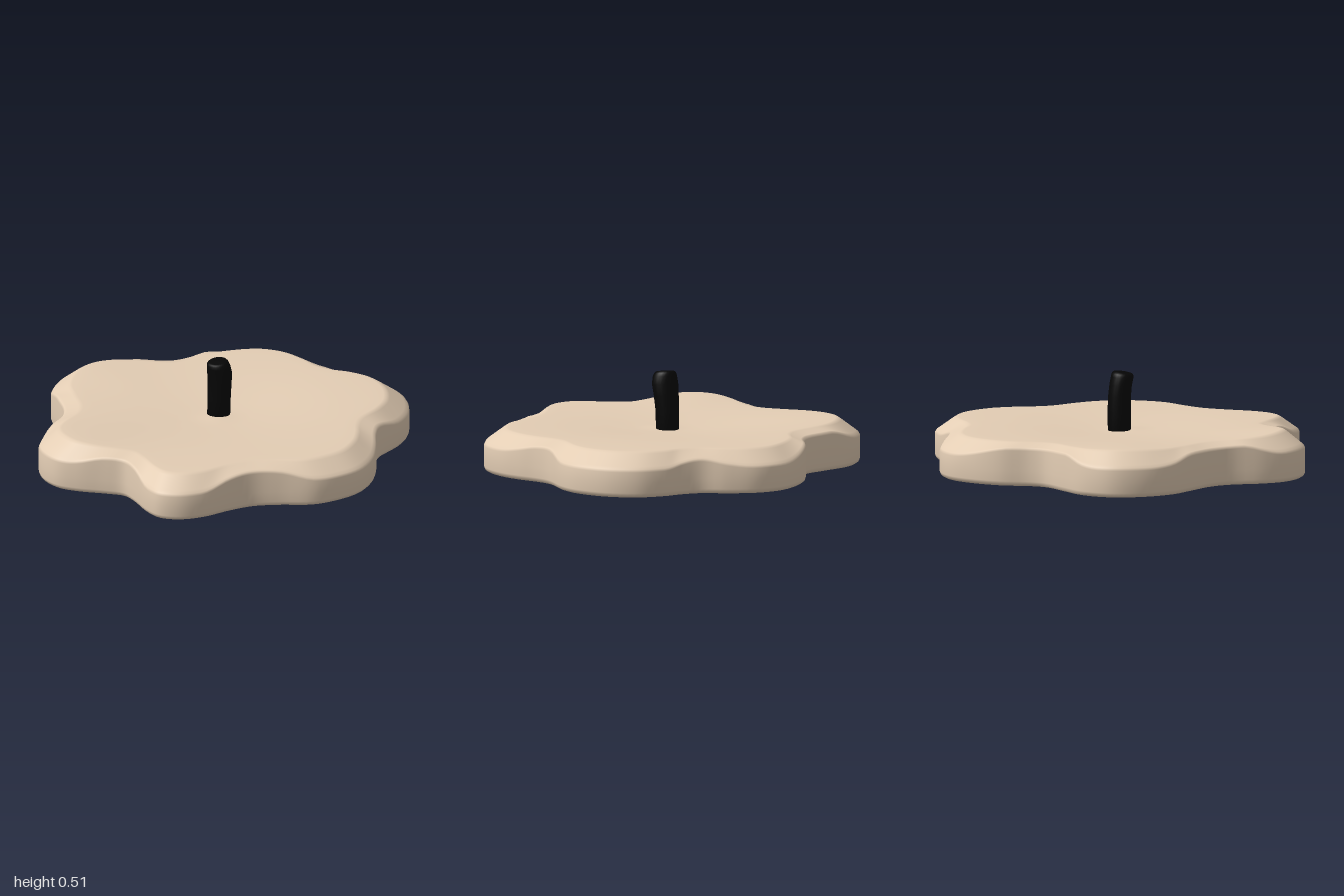
import * as THREE from 'three';

const cream = new THREE.MeshStandardMaterial({ color: 0xe3cdb4 });
cream.name = 'cream';
const black = new THREE.MeshStandardMaterial({ color: 0x060606 });
black.name = 'black';

// Wavy six-lobed outline as x, z pairs, anticlockwise from above
const OUTLINE = [
  1, 0, 0.955, -0.16, 0.885, -0.27, 0.81, -0.36, 0.76, -0.45, 0.735, -0.64, 0.685, -0.77, 0.55, -0.91,
  0.39, -0.97, 0.245, -0.955, 0.14, -0.915, 0.03, -0.9, -0.1, -0.935, -0.26, -0.95, -0.4, -0.9,
  -0.51, -0.78, -0.58, -0.64, -0.605, -0.49, -0.65, -0.4, -0.78, -0.31, -0.915, -0.215, -0.985, -0.1,
  -1, 0, -0.97, 0.14, -0.89, 0.275, -0.77, 0.37, -0.635, 0.475, -0.57, 0.575, -0.53, 0.75,
  -0.475, 0.865, -0.385, 0.937, -0.27, 0.967, -0.155, 0.935, -0.02, 0.865, 0.075, 0.828, 0.165, 0.853,
  0.325, 0.927, 0.42, 0.942, 0.515, 0.89, 0.585, 0.785, 0.635, 0.62, 0.69, 0.495, 0.785, 0.39,
  0.92, 0.27, 0.98, 0.135,
];

// Closed skin over a stack of rings, with a centre point at each end
function loft(rings, start, end) {
  const n = rings[0].length;
  const points = [...rings.flat(), start, end];
  const s = points.length - 2, e = s + 1, last = (rings.length - 1) * n;
  const index = [];
  for (let i = 0; i < n; i++) {
    const j = (i + 1) % n;
    for (let r = 0; r < last; r += n) {
      index.push(r + i, r + j, r + n + j, r + i, r + n + j, r + n + i);
    }
    index.push(s, j, i, e, last + i, last + j);
  }
  const g = new THREE.BufferGeometry().setFromPoints(points);
  g.setIndex(index);
  g.computeVertexNormals();
  return g;
}

// Shallow dish with a few raised lobes and a small mound beside the stem
const bump = (x, z, cx, cz, w) => Math.exp(-((x - cx) ** 2 + (z - cz) ** 2) / w);
const topY = (x, z) => 0.198
  + 0.027 * THREE.MathUtils.smoothstep(Math.hypot(x, z), 0, 0.72)
  + 0.025 * bump(x, z, -0.3, 0.85, 0.07)
  + 0.014 * bump(x, z, -0.85, 0, 0.07)
  + 0.006 * bump(x, z, 0.3, -0.65, 0.12)
  + 0.008 * bump(x, z, 0.05, 0.04, 0.006);

function createBody() {
  const control = [];
  for (let i = 0; i < OUTLINE.length; i += 2) control.push(new THREE.Vector3(OUTLINE[i], 0, OUTLINE[i + 1]));
  const edge = new THREE.CatmullRomCurve3(control, true).getPoints(200).slice(0, -1);
  const ring = (scale, height) => edge.map((p) => {
    const x = p.x * scale, z = p.z * scale;
    return new THREE.Vector3(x, height(x, z, p.length()), z);
  });
  // The bevel is deeper on the lobes than in the notches
  const bevel = (part, offset = 0) => (x, z, r) =>
    topY(x, z) - part * (0.025 + 0.055 * THREE.MathUtils.smoothstep(r, 0.84, 0.99)) + offset;

  const rings = [
    ring(0.97, () => 0), ring(0.98, () => 0), ring(0.993, () => 0.008), ring(1, () => 0.025),
    ring(1, () => 0.08), ring(1, bevel(1, -0.012)), ring(0.992, bevel(1, 0.002)),
    ring(0.975, bevel(0.82)), ring(0.9, bevel(0.14)), ring(0.885, bevel(0.03)), ring(0.868, topY),
  ];
  for (const s of [0.8, 0.65, 0.5, 0.35, 0.22, 0.15, 0.1, 0.06]) rings.push(ring(s, topY));
  return loft(rings, new THREE.Vector3(), new THREE.Vector3(0, topY(0, 0), 0));
}

function createStem() {
  // Each level: centre x, y, z, radius along x, radius along z, tilt of the cut
  const levels = [
    [0.026, 0.17, -0.005, 0.06, 0.061, 0], [0.028, 0.3, -0.007, 0.062, 0.061, 0],
    [0.033, 0.38, -0.005, 0.066, 0.06, 0], [0.038, 0.44, 0.001, 0.07, 0.059, -0.05],
    [0.037, 0.48, 0.009, 0.064, 0.059, -0.1], [0.035, 0.496, 0.012, 0.057, 0.057, -0.13],
    [0.035, 0.504, 0.013, 0.05, 0.05, -0.14], [0.035, 0.506, 0.013, 0.04, 0.04, -0.14],
  ];
  const sides = 24;
  const rings = levels.map(([x, y, z, rx, rz, tilt]) => Array.from({ length: sides }, (_, i) => {
    const a = (i / sides) * Math.PI * 2;
    const dz = -Math.sin(a) * rz;
    return new THREE.Vector3(x + Math.cos(a) * rx, y + dz * tilt, z + dz);
  }));
  return loft(rings, new THREE.Vector3(0.026, 0.17, -0.005), new THREE.Vector3(0.035, 0.507, 0.013));
}

export function createModel() {
  const group = new THREE.Group();
  const body = new THREE.Mesh(createBody(), cream);
  body.name = 'wavyBase';
  const stem = new THREE.Mesh(createStem(), black);
  stem.name = 'stem';
  group.add(body, stem);
  return group;
}
